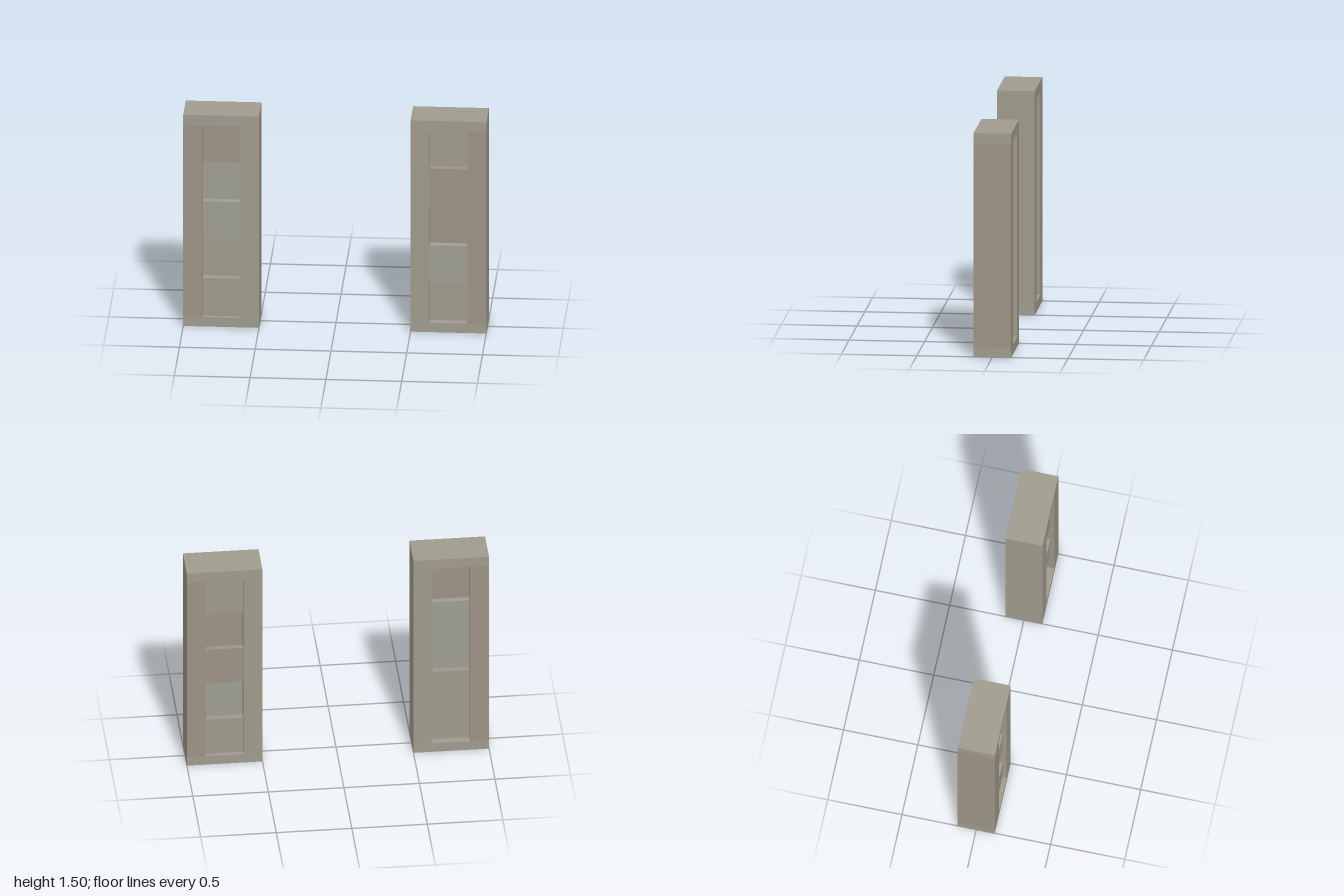
import * as THREE from 'three';

const WIDTH = 0.5, HEIGHT = 1.5, DEPTH = 0.25;
const OPEN_W = 0.25, OPEN_BOTTOM = 0.066, OPEN_TOP = 1.427;
const GAP = 0.01, SLAB_DEPTH = 0.17, STAGGER = 0.012;
const STILE_W = (WIDTH - OPEN_W) / 2;

// Slightly varied stone tones
const TAN = 0x9c9385, GREY = 0xa09e93, OLIVE = 0x9f9a8b, PALE = 0xa09b8e;

function block(name, w, h, d, x, y, z, color) {
  const material = new THREE.MeshStandardMaterial({ color, flatShading: true });
  const mesh = new THREE.Mesh(new THREE.BoxGeometry(w, h, d), material);
  mesh.name = name;
  mesh.position.set(x, y, z);
  return mesh;
}

function pillar(name, x, firstShift, slabColors, outerColor, innerColor) {
  const group = new THREE.Group();
  group.name = name;
  group.position.x = x;

  // Frame: full-width rails above and below two stiles
  const openH = OPEN_TOP - OPEN_BOTTOM, midY = (OPEN_TOP + OPEN_BOTTOM) / 2;
  const topH = HEIGHT - OPEN_TOP;
  const stileX = (OPEN_W + STILE_W) / 2;
  group.add(
    block('bottomRail', WIDTH, OPEN_BOTTOM, DEPTH, 0, OPEN_BOTTOM / 2, 0, PALE),
    block('topRail', WIDTH, topH, DEPTH, 0, HEIGHT - topH / 2, 0, PALE),
    block('rightStile', STILE_W, openH, DEPTH, -stileX, midY, 0, outerColor),
    block('leftStile', STILE_W, openH, DEPTH, stileX, midY, 0, innerColor),
  );

  // Recessed slabs, staggered forward and back with open slits between them
  const count = slabColors.length, pitch = openH / count;
  slabColors.forEach((color, i) => {
    const top = OPEN_TOP - i * pitch - (i > 0 ? GAP / 2 : 0);
    const bottom = OPEN_TOP - (i + 1) * pitch + (i < count - 1 ? GAP / 2 : 0);
    const z = firstShift * (i % 2 ? -1 : 1);
    group.add(block(`slab${i + 1}`, OPEN_W, top - bottom, SLAB_DEPTH,
      0, (top + bottom) / 2, z, color));
  });
  return group;
}

export function createModel() {
  const model = new THREE.Group();
  model.name = 'pillarPair';
  model.add(
    pillar('rightPillar', -0.75, STAGGER, [TAN, GREY, GREY, OLIVE, OLIVE], TAN, OLIVE),
    pillar('leftPillar', 0.75, -STAGGER, [OLIVE, TAN, TAN, GREY, OLIVE], OLIVE, TAN),
  );
  return model;
}
